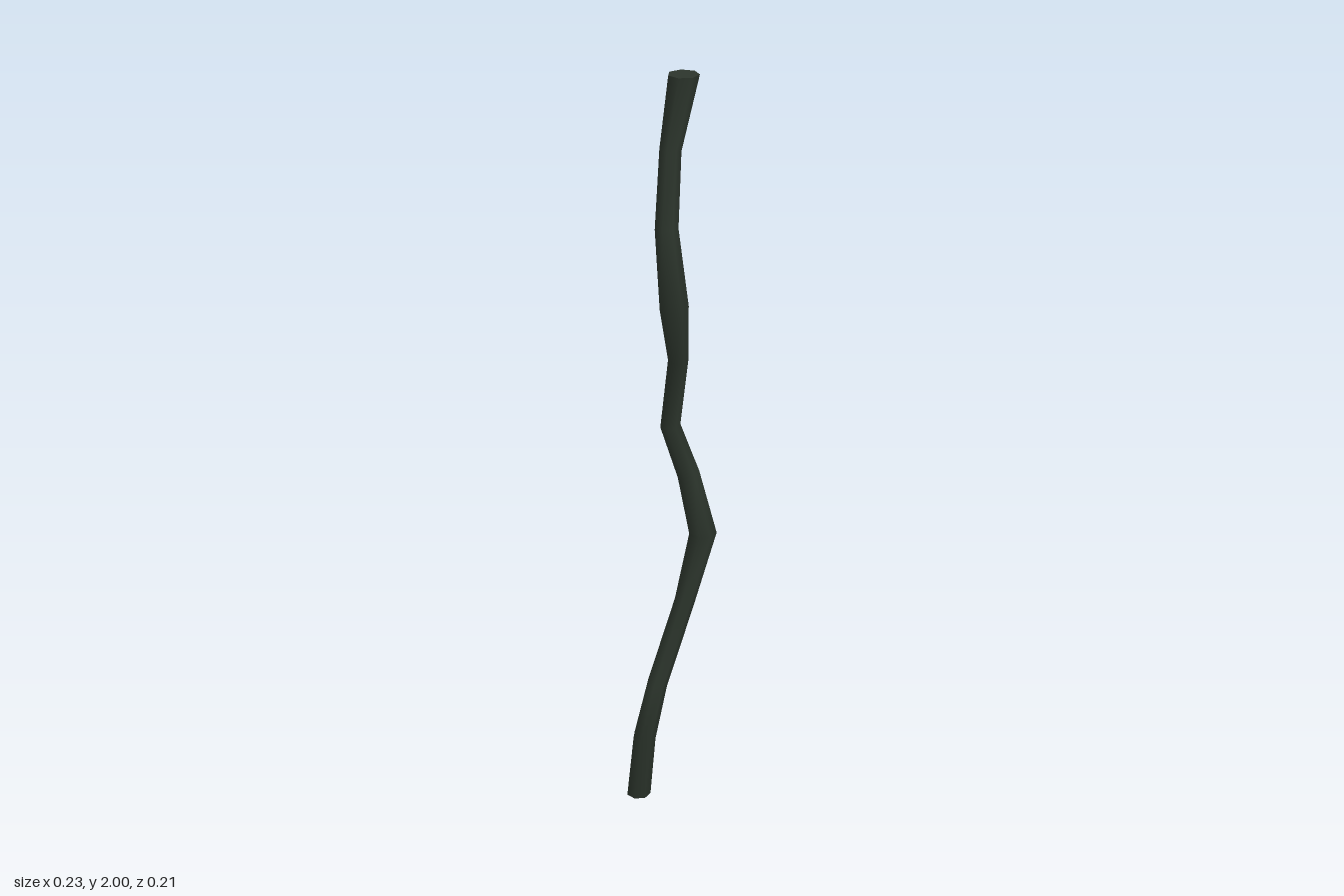
import * as THREE from 'three';

// Ring centres and radii of the stem: x, y, z, radius
const RINGS = [
  [-0.087, 0, -0.042, 0.032],
  [-0.063, 0.2, -0.003, 0.030],
  [-0.03, 0.36, -0.008, 0.027],
  [0.028, 0.57, -0.074, 0.027],
  [0.077, 0.78, -0.071, 0.036],
  [0.042, 0.95, -0.055, 0.029],
  [0.0, 1.09, -0.032, 0.026],
  [0.024, 1.28, -0.009, 0.026],
  [0.028, 1.445, 0.069, 0.036],
  [0.010, 1.64, 0.070, 0.029],
  [0.011, 1.82, 0.028, 0.027],
  [0.040, 2, 0.014, 0.038],
];
const SIDES = 7;

// Smooth skin swept through the rings; the end rings lie flat
function stemGeometry() {
  const centers = RINGS.map(([x, y, z]) => new THREE.Vector3(x, y, z));
  const last = RINGS.length - 1;
  const up = new THREE.Vector3(0, 1, 0);
  const pos = [], index = [];
  RINGS.forEach((ring, i) => {
    const dir = up.clone();
    if (i > 0 && i < last) {
      const a = centers[i].clone().sub(centers[i - 1]).normalize();
      const b = centers[i + 1].clone().sub(centers[i]).normalize();
      dir.copy(a).add(b).normalize();
    }
    const turn = new THREE.Quaternion().setFromUnitVectors(up, dir);
    for (let s = 0; s < SIDES; s++) {
      const t = (s / SIDES) * Math.PI * 2 + 0.1;
      const p = new THREE.Vector3(Math.cos(t), 0, -Math.sin(t))
        .multiplyScalar(ring[3]).applyQuaternion(turn).add(centers[i]);
      pos.push(p.x, p.y, p.z);
      if (i < last) {
        const n = (s + 1) % SIDES;
        const a = i * SIDES + s, b = i * SIDES + n;
        index.push(a, b, b + SIDES, a, b + SIDES, a + SIDES);
      }
    }
  });
  const geo = new THREE.BufferGeometry();
  geo.setAttribute('position', new THREE.Float32BufferAttribute(pos, 3));
  geo.setIndex(index);
  geo.computeVertexNormals();
  return geo;
}

export function createModel() {
  const group = new THREE.Group();
  group.name = 'vine';
  const bark = new THREE.MeshStandardMaterial({ color: 0x2c352c });
  bark.name = 'dark green bark';

  const stem = new THREE.Mesh(stemGeometry(), bark);
  stem.name = 'stem';
  group.add(stem);

  // Flat end caps
  for (const [name, ring, facing] of [['bottomEnd', RINGS[0], 1], ['topEnd', RINGS[RINGS.length - 1], -1]]) {
    const cap = new THREE.Mesh(new THREE.CircleGeometry(ring[3], SIDES, -0.1 * -facing * -1), bark);
    cap.name = name;
    cap.rotation.x = facing * Math.PI / 2;
    cap.position.set(ring[0], ring[1], ring[2]);
    group.add(cap);
  }
  return group;
}
